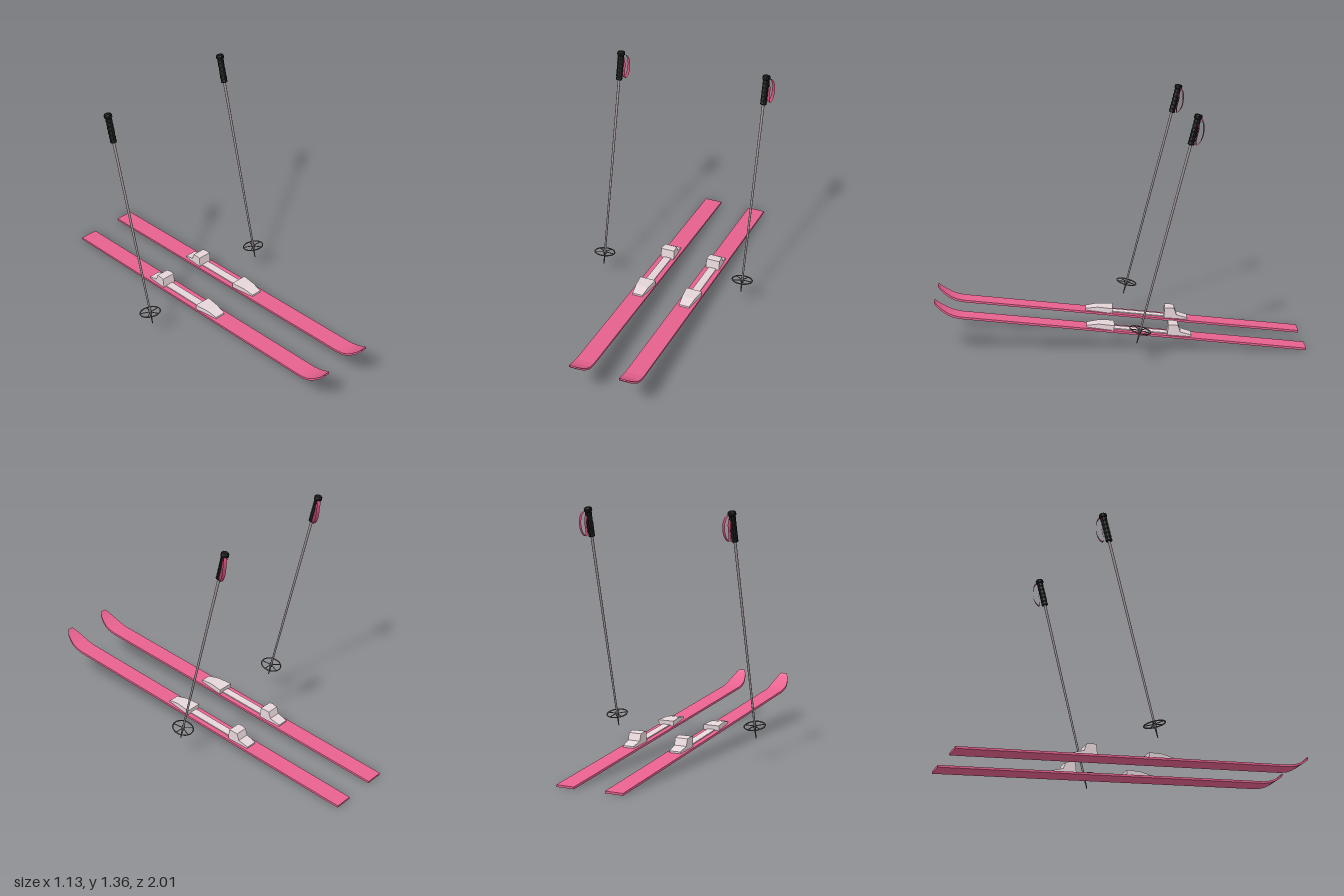
import * as THREE from 'three';

const HEADING = 0.408; // yaw shared by skis and poles
const PITCH = -0.104;  // skis rise towards the tips

const mat = (color, extra = {}) => new THREE.MeshStandardMaterial({ color, ...extra });
const pink = mat(0xe8628f, { flatShading: true });
const pale = mat(0xe6d6da, { flatShading: true });
const metal = mat(0x9c9296);
const dark = mat(0x5a5659);
const black = mat(0x161616, { flatShading: true });
const strapMat = mat(0xc2486f, { side: THREE.DoubleSide });

function add(parent, name, geometry, material) {
  const mesh = new THREE.Mesh(geometry, material);
  mesh.name = name;
  parent.add(mesh);
  return mesh;
}

// Ski stations: distance from tail, underside height, half width
const STATIONS = [
  [0, 0, 0.051], [1.9, 0, 0.051], [1.94, 0.006, 0.051], [1.97, 0.016, 0.049],
  [2.0, 0.031, 0.042], [2.03, 0.05, 0.031], [2.047, 0.066, 0.017],
];

function skiBody() {
  const n = STATIONS.length - 1;
  const g = new THREE.BoxGeometry(2, 1, 1, 1, 1, n);
  const p = g.attributes.position;
  for (let i = 0; i < p.count; i++) {
    const [z, y, w] = STATIONS[Math.round((p.getZ(i) + 0.5) * n)];
    p.setXYZ(i, p.getX(i) * w, y + (p.getY(i) + 0.5) * 0.012, z);
  }
  g.computeVertexNormals();
  return g;
}

// Side profile [z, y] extruded across the ski, width running from w0 to w1
function taperedBlock(profile, w0, w1) {
  const shape = new THREE.Shape(profile.map(([z, y]) => new THREE.Vector2(z, y)));
  const g = new THREE.ExtrudeGeometry(shape, { depth: 1, bevelEnabled: false });
  g.translate(0, 0, -0.5).rotateY(-Math.PI / 2);
  const zs = profile.map((q) => q[0]);
  const z0 = Math.min(...zs), z1 = Math.max(...zs);
  const p = g.attributes.position;
  for (let i = 0; i < p.count; i++) {
    const t = (p.getZ(i) - z0) / (z1 - z0);
    p.setX(i, p.getX(i) * THREE.MathUtils.lerp(w0, w1, t));
  }
  g.computeVertexNormals();
  return g;
}

function makeSki(name) {
  const ski = new THREE.Group();
  ski.name = name;
  add(ski, 'skiBody', skiBody(), pink);
  add(ski, 'heelBinding', taperedBlock([
    [0.635, 0.01], [0.767, 0.01], [0.767, 0.07], [0.745, 0.073],
    [0.713, 0.071], [0.697, 0.034], [0.635, 0.022],
  ], 0.064, 0.08), pale);
  add(ski, 'toeBinding', taperedBlock([
    [1.06, 0.01], [1.21, 0.01], [1.21, 0.022], [1.145, 0.038], [1.06, 0.04],
  ], 0.094, 0.06), pale);
  const plate = add(ski, 'bindingPlate', new THREE.BoxGeometry(0.046, 0.008, 0.31), pale);
  plate.position.set(0, 0.0135, 0.913);
  ski.rotation.set(PITCH, HEADING, 0, 'YXZ');
  return ski;
}

// Wrist strap: a flat ribbon swept round a closed loop, relative to the grip top
function strapGeometry() {
  const curve = new THREE.CatmullRomCurve3([
    [0.005, -0.016, -0.006], [0.013, -0.03, -0.026], [0.02, -0.058, -0.034],
    [0.024, -0.105, -0.031], [0.026, -0.142, -0.014], [0.024, -0.155, 0.002],
    [0.022, -0.135, 0.006], [0.014, -0.07, -0.006],
  ].map((q) => new THREE.Vector3(...q)), true);
  const n = 32;
  const g = new THREE.PlaneGeometry(0.02, 1, 1, n);
  const p = g.attributes.position;
  for (let i = 0; i < p.count; i++) {
    const c = curve.getPoint((0.5 - p.getY(i)) % 1);
    p.setXYZ(i, c.x + p.getX(i), c.y, c.z);
  }
  g.computeVertexNormals();
  return g;
}

function lathe(points, sides) {
  return new THREE.LatheGeometry(points.map(([r, y]) => new THREE.Vector2(r, y)), sides);
}

function makePole(name) {
  const pole = new THREE.Group();
  pole.name = name;
  const lean = new THREE.Vector3(-0.127, 1.24, -0.288);
  const length = lean.length();

  // Parts along the pole axis, tip at the origin
  const axis = new THREE.Group();
  axis.name = 'poleAxis';
  axis.quaternion.setFromUnitVectors(new THREE.Vector3(0, 1, 0), lean.clone().normalize());
  pole.add(axis);
  add(axis, 'shaft', lathe([[0, 0.07], [0.0055, 0.07], [0.0075, 1.13], [0, 1.13]], 10), metal);
  add(axis, 'tipSpike', lathe([[0, 0], [0.0025, 0.004], [0.005, 0.06], [0.009, 0.065],
    [0.009, 0.09], [0, 0.095]], 10), dark);

  // Grip with finger ridges and a wider cap
  const grip = [[0, length - 0.162], [0.017, length - 0.162], [0.0185, length - 0.156]];
  for (let i = 0; i < 5; i++) {
    const y = length - 0.146 + i * 0.024;
    grip.push([0.0165, y], [0.0185, y + 0.012]);
  }
  grip.push([0.017, length - 0.025], [0.022, length - 0.019], [0.022, length - 0.005],
    [0.018, length], [0, length]);
  add(axis, 'grip', lathe(grip, 10), black);

  // Basket ring and spokes
  const basket = new THREE.Group();
  basket.name = 'basket';
  basket.position.y = 0.077;
  axis.add(basket);
  add(basket, 'basketRing', new THREE.TorusGeometry(0.057, 0.0035, 6, 28).rotateX(Math.PI / 2), dark);
  for (let i = 0; i < 5; i++) {
    const spoke = new THREE.CylinderGeometry(0.0025, 0.0025, 0.057, 6);
    spoke.rotateZ(Math.PI / 2).translate(0.0285, 0, 0).rotateY((i * Math.PI * 2) / 5 + 0.4);
    add(basket, 'basketSpoke', spoke, dark);
  }

  add(pole, 'wristStrap', strapGeometry(), strapMat).position.copy(lean);
  return pole;
}

export function createModel() {
  const model = new THREE.Group();
  model.name = 'skisAndPoles';

  const rightSki = makeSki('rightSki');
  rightSki.position.set(-0.522, 0, -0.865);
  const leftSki = makeSki('leftSki');
  leftSki.position.set(-0.267, 0, -0.981);

  const rightPole = makePole('rightPole');
  rightPole.position.set(-0.413, 0.118, 0.158);
  const leftPole = makePole('leftPole');
  leftPole.position.set(0.322, 0.118, -0.217);

  model.add(rightSki, leftSki, rightPole, leftPole);
  return model;
}
